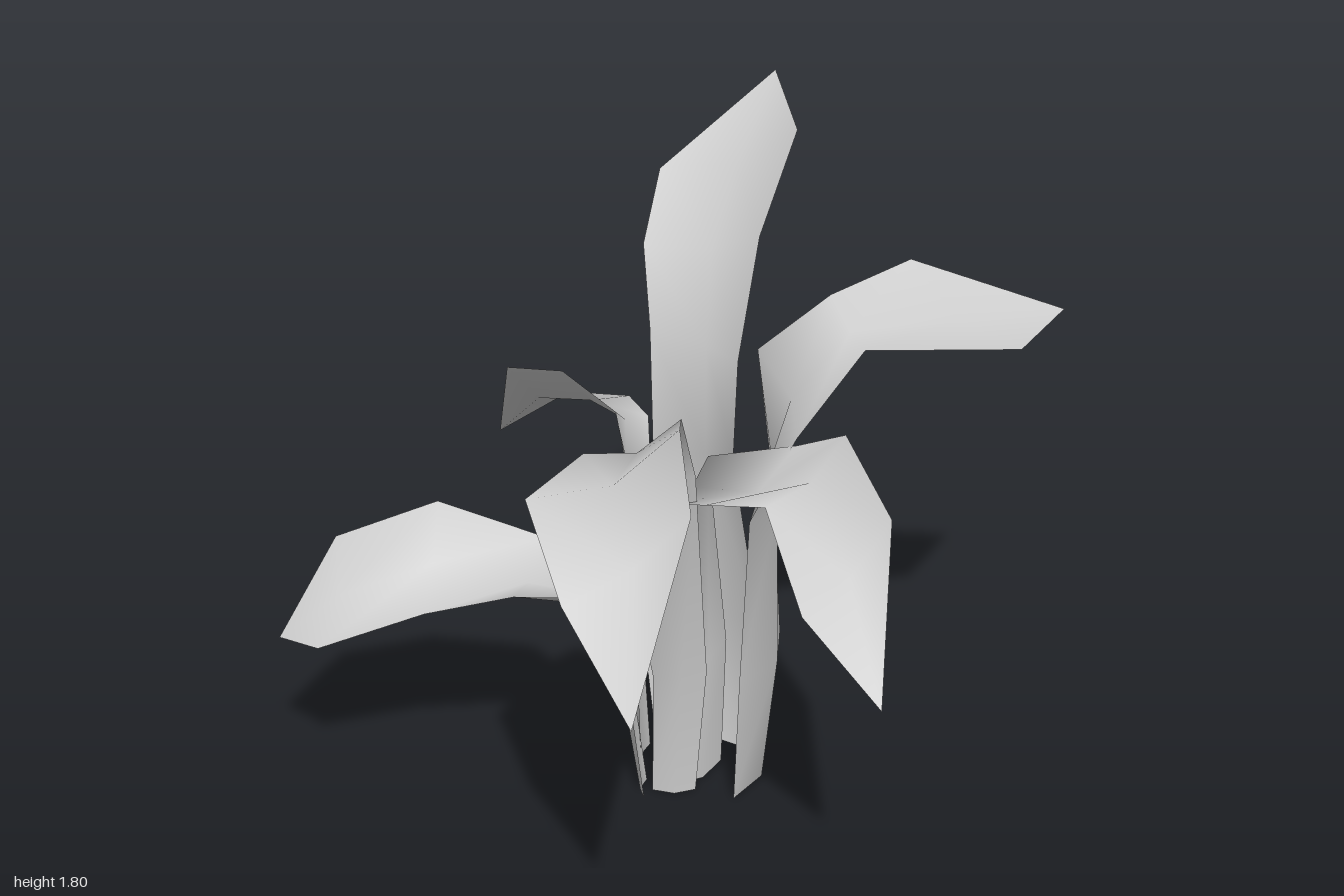
import * as THREE from 'three';

const leafGrey = new THREE.MeshStandardMaterial({ color: 0xcccccc, side: THREE.DoubleSide });
leafGrey.name = 'leafGrey';

// Each leaf: its tip, then rows down to the root as [right edge xyz, left edge xyz].
const leaves = {
  tallBackLeaf: { tip: [-0.10, 1.80, -1.00], rows: [
    [0.08, 1.72, -0.77, -0.29, 1.58, -0.66],
    [0.12, 1.52, -0.46, -0.24, 1.43, -0.47],
    [0.16, 1.24, -0.26, -0.16, 1.23, -0.36],
    [0.20, 1.00, -0.16, -0.09, 0.90, -0.25],
    [0.20, 0.39, -0.35, -0.14, 0.39, -0.27],
    [0.18, 0.00, -0.31, -0.08, 0.00, -0.25],
  ] },
  backLeftLeaf: { tip: [0.82, 1.265, -0.96], rows: [
    [0.82, 1.27, -0.63, 0.47, 1.445, -0.68],
    [0.50, 1.32, -0.32, 0.33, 1.39, -0.47],
    [0.38, 1.10, -0.17, 0.16, 1.23, -0.38],
    [0.30, 0.88, -0.06, 0.24, 0.86, -0.33],
    [0.29, 0.39, -0.04, 0.26, 0.39, -0.36],
    [0.27, 0.00, -0.06, 0.22, 0.00, -0.33],
  ] },
  leftLeaf: { tip: [0.89, 0.72, 0.40], rows: [
    [0.65, 0.90, 0.36, 0.77, 1.08, 0.10],
    [0.43, 1.04, 0.12, 0.55, 1.18, -0.10],
    [0.26, 1.01, 0.13, 0.38, 1.08, -0.17],
    [0.08, 0.94, 0.06, 0.13, 1.00, -0.15],
    [0.09, 0.39, -0.03, 0.15, 0.39, -0.24],
    [0.08, 0.00, -0.03, 0.15, 0.00, -0.22],
  ] },
  frontLeaf: { tip: [0.52, 0.885, 1.00], rows: [
    [0.28, 1.10, 0.90, 0.505, 1.29, 0.68],
    [0.08, 1.25, 0.72, 0.38, 1.41, 0.50],
    [0.03, 1.20, 0.35, 0.26, 1.31, 0.26],
    [-0.03, 1.00, 0.10, 0.21, 1.06, 0.08],
    [0.06, 0.39, 0.03, 0.18, 0.39, -0.06],
    [0.05, 0.00, 0.01, 0.155, 0.00, -0.05],
  ] },
  lowRightLeaf: { tip: [-0.90, 0.45, 0.43], rows: [
    [-0.79, 0.73, 0.29, -0.72, 0.50, 0.50],
    [-0.55, 0.83, 0.14, -0.47, 0.60, 0.35],
    [-0.32, 0.68, -0.06, -0.24, 0.67, 0.26],
    [-0.12, 0.56, -0.03, 0.03, 0.66, 0.10],
    [-0.03, 0.30, -0.02, 0.02, 0.38, 0.10],
    [0.01, 0.00, -0.03, 0.05, 0.00, 0.06],
  ] },
  backRightLeaf: { tip: [-0.74, 0.73, -0.50], rows: [
    [-0.51, 0.90, -0.52, -0.55, 1.08, -0.24],
    [-0.22, 1.02, -0.35, -0.29, 1.18, -0.10],
    [-0.10, 1.03, -0.24, -0.12, 1.10, -0.09],
    [-0.07, 0.88, -0.20, -0.02, 0.97, 0.01],
    [-0.11, 0.39, -0.22, -0.01, 0.39, -0.01],
    [-0.07, 0.00, -0.20, 0.00, 0.00, -0.02],
  ] },
};
const FOLD = 0.16; // depth of the midrib valley relative to leaf width

// Pointed leaf, folded along a midrib that sinks below both edges
function foldedLeaf({ tip, rows }) {
  const right = rows.map((r) => new THREE.Vector3(r[0], r[1], r[2]));
  const left = rows.map((r) => new THREE.Vector3(r[3], r[4], r[5]));
  const centre = right.map((p, i) => p.clone().lerp(left[i], 0.5));
  const points = [new THREE.Vector3(...tip)];
  const index = [0, 2, 1, 0, 3, 2];
  const last = rows.length - 1;
  rows.forEach((_, i) => {
    const across = right[i].clone().sub(left[i]);
    const along = (i ? centre[i - 1] : points[0]).clone().sub(centre[Math.min(i + 1, last)]);
    const up = across.clone().cross(along).normalize();
    const rib = centre[i].clone().addScaledVector(up, -FOLD * across.length());
    rib.y = i === last ? 0 : rib.y;
    points.push(right[i], rib, left[i]);
    if (i === last) return;
    for (const a of [1 + i * 3, 2 + i * 3]) index.push(a, a + 1, a + 3, a + 1, a + 4, a + 3);
  });
  const geometry = new THREE.BufferGeometry().setFromPoints(points);
  geometry.setIndex(index);
  geometry.computeVertexNormals();
  return geometry;
}

export function createModel() {
  const plant = new THREE.Group();
  plant.name = 'plant';
  for (const [name, shape] of Object.entries(leaves)) {
    const leaf = new THREE.Mesh(foldedLeaf(shape), leafGrey);
    leaf.name = name;
    plant.add(leaf);
  }
  return plant;
}
